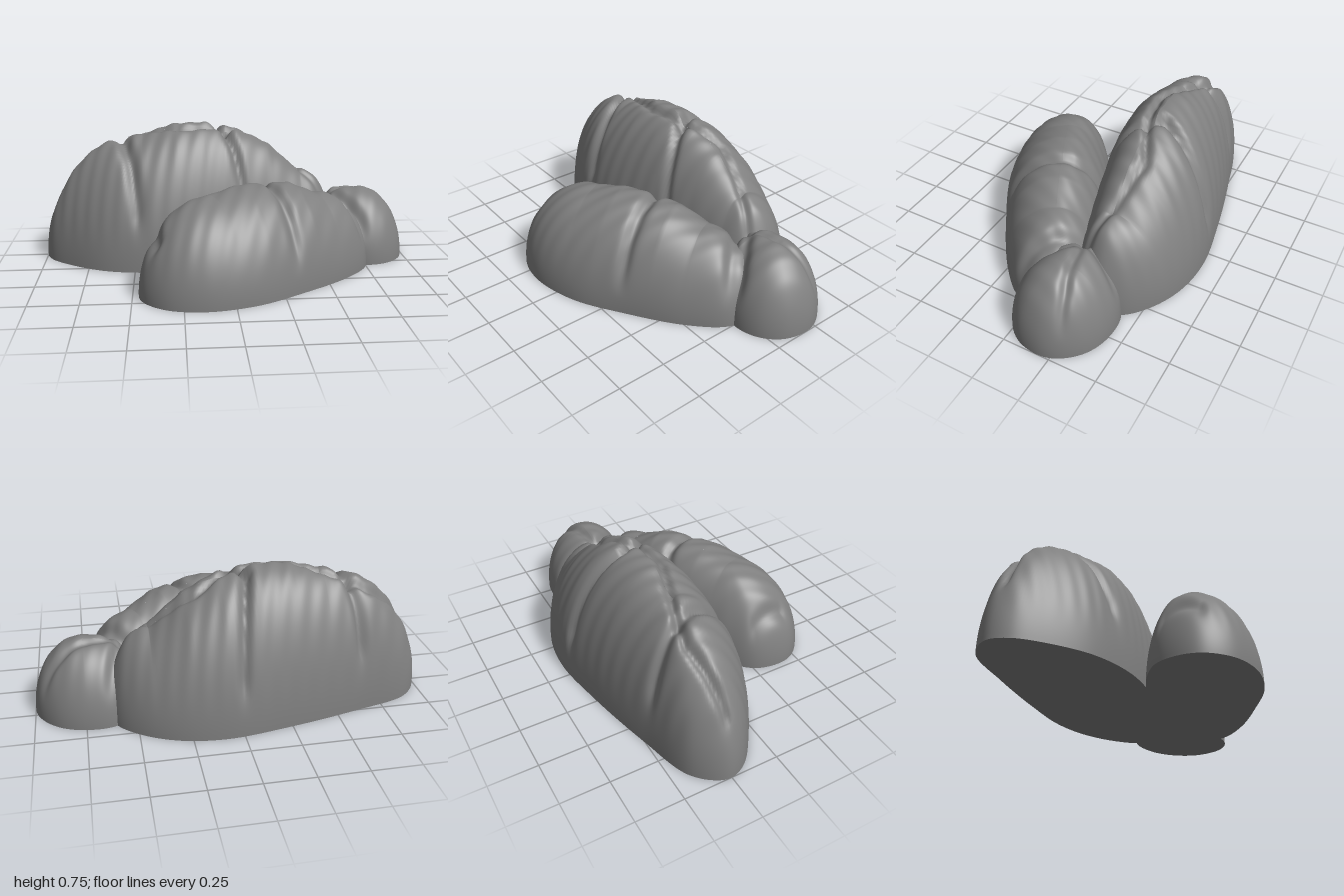
import * as THREE from 'three';

const stone = new THREE.MeshStandardMaterial({ color: 0x808080 });
stone.name = 'grey stone';

// Distance from (x, z) to a polyline of [x, z] points
function distanceTo(path, x, z) {
  let best = Infinity;
  for (let i = 0; i < path.length - 1; i++) {
    const [ax, az] = path[i], dx = path[i + 1][0] - ax, dz = path[i + 1][1] - az;
    const k = THREE.MathUtils.clamp(((x - ax) * dx + (z - az) * dz) / (dx * dx + dz * dz), 0, 1);
    best = Math.min(best, Math.hypot(x - ax - k * dx, z - az - k * dz));
  }
  return best;
}

// Height along the spine, spaced evenly
function heightAt(heights, s) {
  const f = s * (heights.length - 1), i = Math.min(Math.floor(f), heights.length - 2);
  return THREE.MathUtils.lerp(heights[i], heights[i + 1], f - i);
}

// A rounded lobe: a closed footprint swept up in quarter ellipses to a spine, then cut by grooves
function makeLobe({ name, outline, spine, heights, grooves }) {
  const around = 280, rings = 44;
  const curve = new THREE.CatmullRomCurve3(outline.map(([x, z]) => new THREE.Vector3(x, 0, z)), true);
  const foot = curve.getSpacedPoints(around).slice(0, around);
  const [[ax, az], [bx, bz]] = spine;
  const dx = bx - ax, dz = bz - az;
  const position = [], index = [];
  for (let r = 0; r <= rings; r++) {
    const t = (r / rings) * Math.PI / 2;
    for (let u = 0; u < around; u++) {
      const p = foot[u];
      const s = THREE.MathUtils.clamp(((p.x - ax) * dx + (p.z - az) * dz) / (dx * dx + dz * dz), 0, 1);
      const sx = ax + s * dx, sz = az + s * dz;
      const x = sx + (p.x - sx) * Math.cos(t), z = sz + (p.z - sz) * Math.cos(t);
      const y = heightAt(heights, s) * Math.sin(t);
      const fade = THREE.MathUtils.smoothstep(y, 0.08, 0.32);
      let cut = 0.004 * Math.sin(x * 70 + z * 25) * fade;
      for (const g of grooves) {
        const d = distanceTo(g.path, x, z) / g.width;
        cut += g.depth * Math.exp(-d * d) * fade;
      }
      position.push(sx + (x - sx) * (1 - cut), y * (1 - cut), sz + (z - sz) * (1 - cut));
      if (r < rings) {
        const a = r * around + u, b = r * around + (u + 1) % around;
        index.push(a, a + around, b, b, a + around, b + around);
      }
    }
  }
  const dome = new THREE.BufferGeometry();
  dome.setAttribute('position', new THREE.Float32BufferAttribute(position, 3));
  dome.setIndex(index);
  dome.computeVertexNormals();

  // Flat underside
  const base = new THREE.ShapeGeometry(new THREE.Shape(foot.map(p => new THREE.Vector2(p.x, p.z))));
  base.rotateX(Math.PI / 2);

  const group = new THREE.Group();
  group.name = name;
  for (const [part, geometry] of [['Dome', dome], ['Base', base]]) {
    const mesh = new THREE.Mesh(geometry, stone);
    mesh.name = name + part;
    group.add(mesh);
  }
  return group;
}

export function createModel() {
  const model = new THREE.Group();
  model.name = 'rockCluster';

  // Tall ridge along the back
  model.add(makeLobe({
    name: 'backRidge',
    outline: [[-1, -0.27], [-0.9, -0.41], [-0.6, -0.505], [-0.2, -0.595], [0.08, -0.635], [0.3, -0.61],
      [0.48, -0.53], [0.6, -0.42], [0.64, -0.3], [0.56, -0.15], [0.2, -0.03], [-0.1, 0.05],
      [-0.4, 0.09], [-0.65, 0.05], [-0.85, -0.06], [-0.97, -0.17]],
    spine: [[-0.45, -0.25], [0.42, -0.27]],
    heights: [0.69, 0.74, 0.745, 0.71, 0.62, 0.47],
    grooves: [
      { path: [[-0.93, -0.25], [-0.69, -0.32], [-0.53, -0.29], [-0.24, -0.2], [-0.02, -0.23],
        [0.19, -0.33], [0.38, -0.28], [0.54, -0.21]], depth: 0.05, width: 0.022 },
      { path: [[-0.63, -0.45], [-0.57, -0.25], [-0.48, 0.04]], depth: 0.07, width: 0.03 },
      { path: [[0, -0.6], [-0.06, -0.32], [0, -0.21], [0.1, -0.02]], depth: 0.07, width: 0.025 },
    ],
  }));

  // Lower lobe lying across the front
  model.add(makeLobe({
    name: 'frontLobe',
    outline: [[-0.47, 0.4], [-0.44, 0.26], [-0.33, 0.15], [-0.1, 0.02], [0.2, -0.12], [0.5, -0.22],
      [0.68, -0.19], [0.765, -0.05], [0.74, 0.09], [0.6, 0.25], [0.35, 0.43], [0.1, 0.575],
      [-0.15, 0.63], [-0.33, 0.595], [-0.44, 0.5]],
    spine: [[-0.1, 0.28], [0.46, 0.02]],
    heights: [0.47, 0.5, 0.5, 0.48, 0.41],
    grooves: [
      { path: [[0.06, -0.05], [0.17, 0.08], [0.32, 0.43]], depth: 0.08, width: 0.03 },
      { path: [[-0.4, 0.27], [-0.38, 0.45]], depth: 0.06, width: 0.03 },
      { path: [[0.5, -0.2], [0.6, -0.06], [0.73, 0.08]], depth: 0.07, width: 0.035 },
    ],
  }));

  // Small knob at the left end
  model.add(makeLobe({
    name: 'sideKnob',
    outline: [[0.48, -0.3], [0.6, -0.42], [0.75, -0.432], [0.88, -0.385], [0.97, -0.29], [1, -0.19],
      [0.97, -0.06], [0.88, 0.03], [0.75, 0.06], [0.6, 0], [0.5, -0.14]],
    spine: [[0.6, -0.19], [0.74, -0.19]],
    heights: [0.38, 0.385],
    grooves: [
      { path: [[0.54, -0.19], [0.75, -0.23], [0.94, -0.29]], depth: 0.06, width: 0.025 },
      { path: [[0.62, -0.4], [0.56, -0.2], [0.74, 0.04]], depth: 0.08, width: 0.03 },
    ],
  }));

  return model;
}
